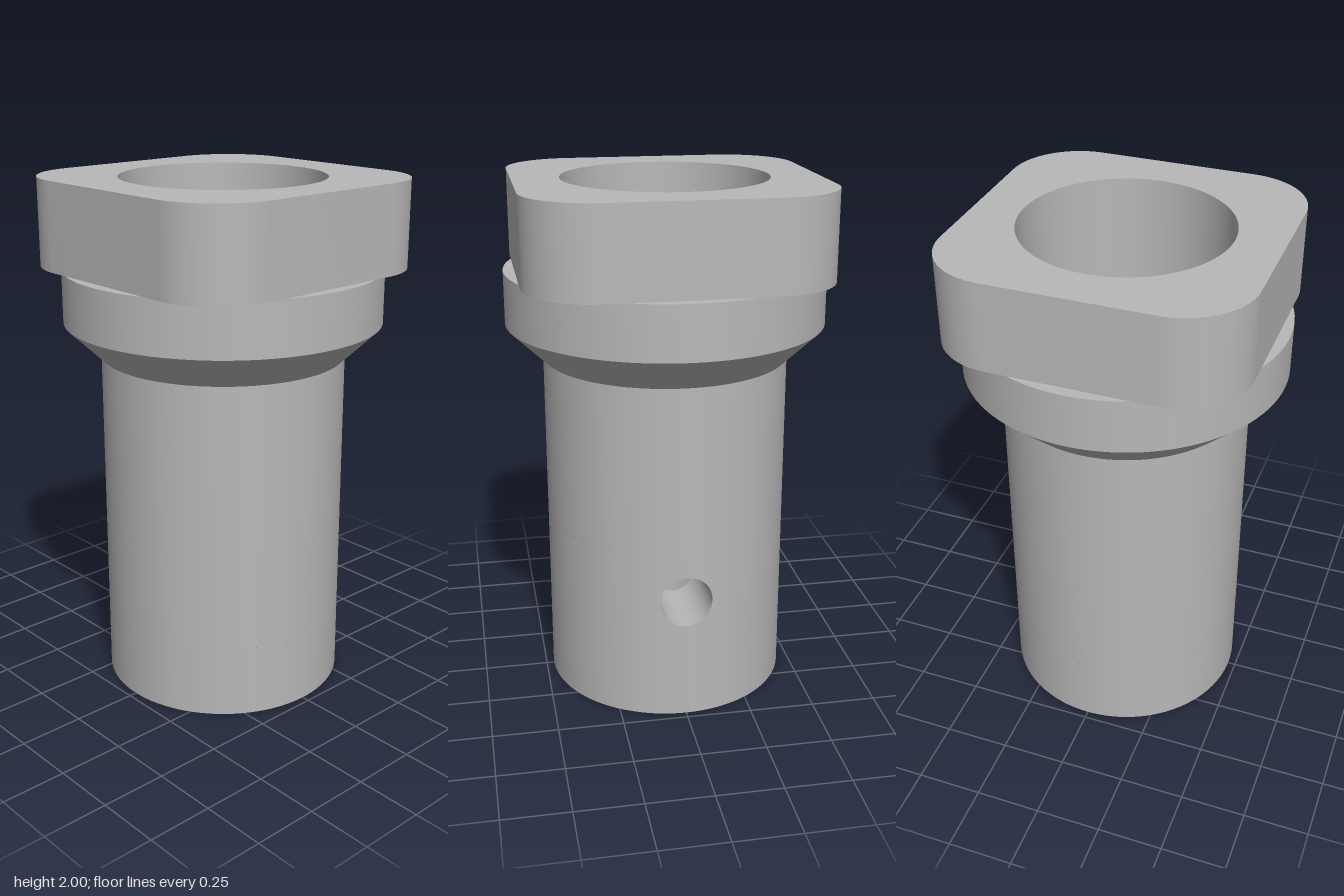
import * as THREE from 'three';
import { toCreasedNormals } from 'three/addons/utils/BufferGeometryUtils.js';

const SEG = 96;
const BODY_R = 0.47, BORE_R = 0.39, DRAIN_R = 0.175;
const PORT_R = 0.1, PORT_Y = 0.48, PATCH = 0.2; // radial port at the back
const FLANGE_TOP = 1.665;

export function createModel() {
  const metal = new THREE.MeshStandardMaterial({ color: 0xb8b8b8 });
  metal.name = 'grey metal';
  const model = new THREE.Group();
  model.name = 'threadedPlug';

  const add = (name, geometry) => {
    const mesh = new THREE.Mesh(geometry, metal);
    mesh.name = name;
    model.add(mesh);
  };

  // One turned surface between two profile points, sharp at both ends
  const band = (name, r0, y0, r1, y1, start = 0, length = Math.PI * 2) =>
    add(name, new THREE.LatheGeometry(
      [new THREE.Vector2(r0, y0), new THREE.Vector2(r1, y1)], SEG, start, length));

  // Grid surface around the port: at(t, s) gives position and normal
  const loopSurface = (name, at, rows, flip) => {
    const pos = [], nor = [], idx = [], n = 64;
    for (let j = 0; j <= rows; j++) {
      for (let i = 0; i <= n; i++) {
        const [p, q] = at((i / n) * Math.PI * 2, j / rows);
        pos.push(...p);
        nor.push(...q);
        if (i < n && j < rows) {
          const a = j * (n + 1) + i, b = a + 1, c = a + n + 1, d = c + 1;
          if (flip) idx.push(a, b, c, b, d, c);
          else idx.push(a, c, b, b, c, d);
        }
      }
    }
    const g = new THREE.BufferGeometry();
    g.setAttribute('position', new THREE.Float32BufferAttribute(pos, 3));
    g.setAttribute('normal', new THREE.Float32BufferAttribute(nor, 3));
    g.setIndex(idx);
    add(name, g);
  };

  // Cylindrical wall pierced by the round port
  const portedWall = (name, R, y0, y1, half, inward) => {
    const low = PORT_Y - PATCH, high = PORT_Y + PATCH;
    const side = (a, b, start, length) => inward
      ? band(name, R, b, R, a, start, length) : band(name, R, a, R, b, start, length);
    side(y0, low);
    if (y1 > high) side(high, y1);
    side(low, high, Math.PI + half, Math.PI * 2 - 2 * half);
    loopSurface(name + 'PortSurround', (t, s) => {
      const c = Math.cos(t), v = Math.sin(t), k = Math.max(Math.abs(c), Math.abs(v));
      const angle = Math.PI + THREE.MathUtils.lerp(Math.asin(PORT_R * c / R), half * c / k, s);
      const y = PORT_Y + THREE.MathUtils.lerp(PORT_R * v, PATCH * v / k, s);
      const x = Math.sin(angle), z = Math.cos(angle), f = inward ? -1 : 1;
      return [[R * x, y, R * z], [f * x, 0, f * z]];
    }, 10, inward);
  };

  // Lower drain hole and barrel
  band('drainCeiling', 0, PORT_Y + PATCH, DRAIN_R, PORT_Y + PATCH);
  portedWall('drainWall', DRAIN_R, 0, PORT_Y + PATCH, 0.95, true);
  band('bottomFace', DRAIN_R, 0, BODY_R, 0);
  portedWall('barrel', BODY_R, 0, 1.325, 0.45, false);

  // Radial port tunnel between barrel and drain
  loopSurface('portTunnel', (t, s) => {
    const c = Math.cos(t), v = Math.sin(t), x = PORT_R * c;
    const z = THREE.MathUtils.lerp(Math.sqrt(BODY_R ** 2 - x * x), Math.sqrt(DRAIN_R ** 2 - x * x), s);
    return [[-x, PORT_Y + PORT_R * v, -z], [c, -v, 0]];
  }, 1, true);

  // Flange with conical underside
  band('flangeCone', BODY_R, 1.325, 0.61, 1.46);
  band('flangeRim', 0.61, 1.46, 0.61, FLANGE_TOP);
  band('flangeTop', 0.61, FLANGE_TOP, BORE_R, FLANGE_TOP);

  // Blind main bore below the head
  band('boreWall', BORE_R, FLANGE_TOP, BORE_R, 0.8);
  band('boreFloor', BORE_R, 0.8, 0, 0.8);

  // Rounded square head
  const h = 0.567, k = 0.305, r = h - k;
  const outline = new THREE.Shape();
  [[k, k], [-k, k], [-k, -k], [k, -k]].forEach(([x, y], i) =>
    outline.absarc(x, y, r, i * Math.PI / 2, (i + 1) * Math.PI / 2, false));
  outline.closePath();
  outline.holes.push(new THREE.Path().absarc(0, 0, BORE_R, 0, Math.PI * 2, true));
  const head = new THREE.ExtrudeGeometry(outline, {
    depth: 2 - FLANGE_TOP, bevelEnabled: false, curveSegments: 48 });
  head.rotateX(-Math.PI / 2).translate(0, FLANGE_TOP, 0);
  add('squareHead', toCreasedNormals(head, 0.5));

  return model;
}
